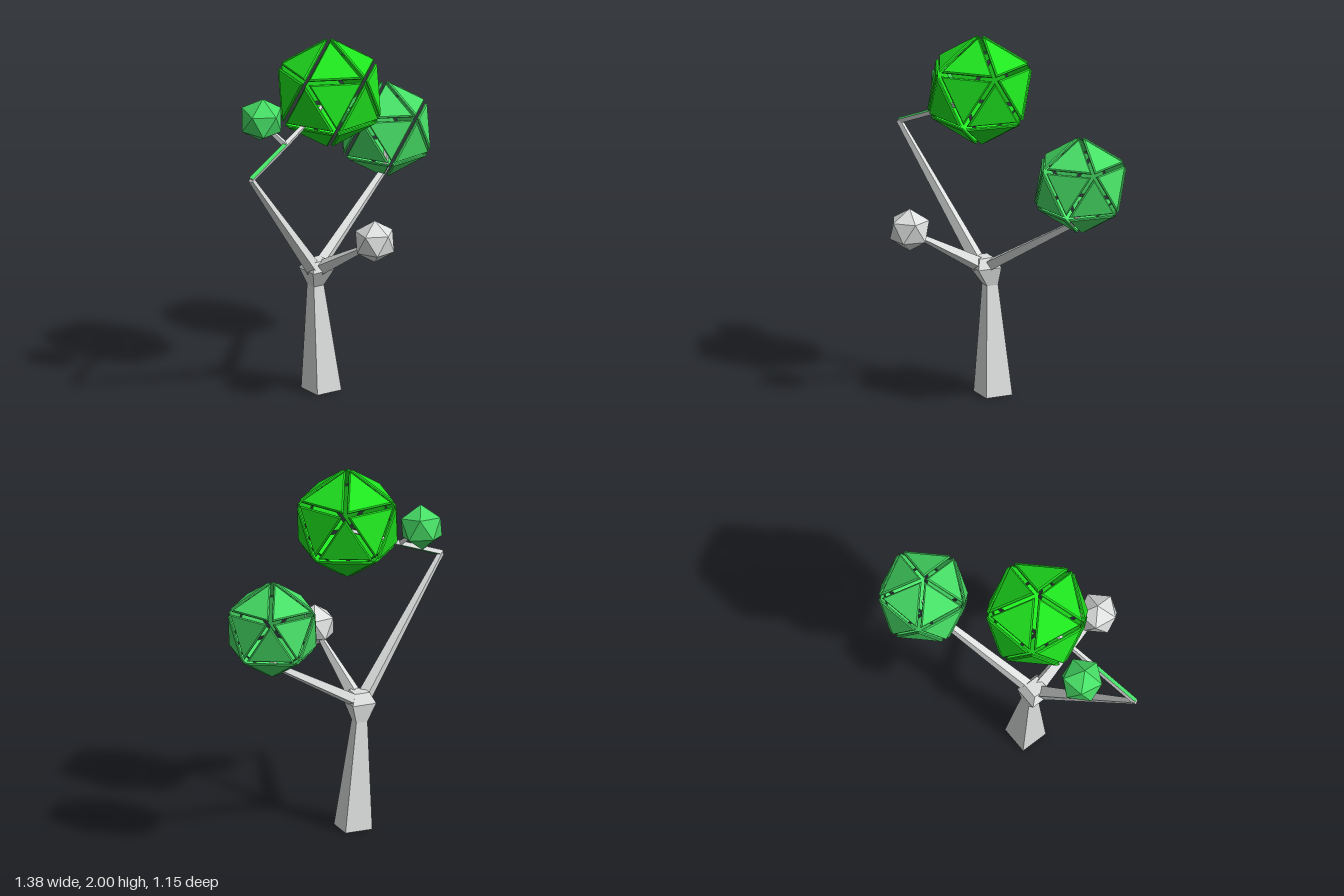
import * as THREE from 'three';

const mat = (name, color) => {
  const m = new THREE.MeshStandardMaterial({ color, flatShading: true });
  m.name = name;
  return m;
};
const V = (x, y, z) => new THREE.Vector3(x, y, z);

// Twelve unit corners of an icosahedron standing on a corner
const H = 1 / Math.sqrt(5), W = 2 * H;
const ring = (y, turn) => Array.from({ length: 5 }, (_, k) => {
  const a = (k * 2 * Math.PI) / 5 + turn;
  return V(W * Math.cos(a), y, W * Math.sin(a));
});
const upper = ring(H, 0), lower = ring(-H, Math.PI / 5);
const faces = [];
for (let k = 0; k < 5; k++) {
  const n = (k + 1) % 5;
  faces.push([V(0, 1, 0), upper[n], upper[k]]);
  faces.push([lower[k], upper[k], upper[n]]);
  faces.push([upper[n], lower[n], lower[k]]);
  faces.push([V(0, -1, 0), lower[k], lower[n]]);
}

// Solid icosahedron for the small buds
function bud(name, material, radius, center) {
  const pts = faces.flat().map((p) => p.clone().multiplyScalar(radius));
  const g = new THREE.BufferGeometry().setFromPoints(pts);
  g.computeVertexNormals();
  const m = new THREE.Mesh(g, material);
  m.name = name;
  m.position.copy(center);
  return m;
}

// Hollow crown of twenty separate bevelled triangular panels
function crown(name, material, R, center) {
  const group = new THREE.Group();
  group.name = name;
  group.position.copy(center);
  const r = 0.588 * R, t = R * 0.026;
  const profile = [[0, 0], [r, 0], [r, t], [r - 0.042 * R, t * 1.9], [0, t * 1.9]];
  const panel = new THREE.LatheGeometry(profile.map((p) => new THREE.Vector2(...p)), 3);
  for (const [a, b, c] of faces) {
    const mid = V(0, 0, 0).add(a).add(b).add(c).divideScalar(3);
    const y = mid.clone().normalize();
    const z = a.clone().sub(mid).normalize();
    const m = new THREE.Mesh(panel, material);
    m.name = 'leafPanel';
    m.quaternion.setFromRotationMatrix(new THREE.Matrix4().makeBasis(y.clone().cross(z), y, z));
    m.position.copy(y).multiplyScalar(R * (0.7947 + 0.062));
    group.add(m);
  }
  return group;
}

// Tapered four-sided branch; its upper front and lower back may take a second colour
function branch(name, a, b, ra, rb, material, accent) {
  const dir = b.clone().sub(a);
  const g = new THREE.CylinderGeometry(rb, ra, dir.length(), 4);
  const m = new THREE.Mesh(g, material);
  m.name = name;
  m.position.copy(a).add(b).multiplyScalar(0.5);
  m.quaternion.setFromUnitVectors(V(0, 1, 0), dir.normalize());
  if (accent) {
    const facing = [0, 1, 2, 3].map((i) => {
      const t = ((i + 0.5) * Math.PI) / 2;
      return V(Math.sin(t), 0, Math.cos(t)).applyQuaternion(m.quaternion).dot(V(0, 0.8, 0.6));
    });
    const side = facing.indexOf(Math.max(...facing));
    g.clearGroups();
    for (let i = 0; i < 4; i++) g.addGroup(i * 6, 6, i % 2 === side % 2 ? 1 : 0);
    g.addGroup(24, 24, 0);
    m.material = [material, accent];
  }
  return m;
}

// Four-sided solid through rings of [x, y, z, radius]
function loft(name, rings, turn, material) {
  const pts = [], idx = [];
  rings.forEach(([x, y, z, r], j) => {
    for (let i = 0; i < 4; i++) {
      const a = turn + (i * Math.PI) / 2;
      pts.push(V(x + r * Math.sin(a), y, z + r * Math.cos(a)));
      if (j) {
        const n = (i + 1) % 4, p = (j - 1) * 4, q = j * 4;
        idx.push(p + i, p + n, q + n, p + i, q + n, q + i);
      }
    }
  });
  const e = (rings.length - 1) * 4;
  idx.push(0, 2, 1, 0, 3, 2, e, e + 1, e + 2, e, e + 2, e + 3);
  const g = new THREE.BufferGeometry().setFromPoints(pts);
  g.setIndex(idx);
  g.computeVertexNormals();
  const m = new THREE.Mesh(g, material);
  m.name = name;
  return m;
}

export function createModel() {
  const bark = mat('grey bark', 0xdfe1e1);
  const bright = mat('bright green', 0x1fe61f);
  const soft = mat('soft green', 0x47df66);
  const tree = new THREE.Group();
  tree.name = 'tree';

  // Trunk and the knot where it forks
  tree.add(loft('trunk', [[-0.09, 0, -0.018, 0.11], [-0.127, 0.6, -0.013, 0.046]], -0.64, bark));
  tree.add(loft('fork', [
    [-0.127, 0.6, -0.013, 0.046], [-0.135, 0.7, 0.015, 0.096], [-0.135, 0.755, 0.022, 0.06],
  ], -0.64, bark));

  // Left-hand limb with its elbow, twig and large crown
  const elbow = V(-0.672, 1.385, 0.322), joint = V(-0.41, 1.505, 0.205);
  tree.add(branch('longBranch', V(-0.16, 0.705, 0.035), elbow, 0.042, 0.017, bark));
  tree.add(branch('elbowBranch', elbow, joint, 0.017, 0.017, bark, soft));
  tree.add(branch('crownBranch', joint, V(-0.1, 1.655, 0.065), 0.017, 0.012, bark));
  tree.add(branch('twig', joint, V(-0.49, 1.6, 0.11), 0.018, 0.012, bark));
  const leafBud = bud('leafBud', soft, 0.124, V(-0.5, 1.627, 0.093));
  leafBud.rotation.x = 0.15;
  tree.add(leafBud);
  tree.add(crown('largeCrown', bright, 0.281, V(-0.08, 1.705, 0.06)));

  // Right-hand limb with the second crown
  tree.add(branch('rightBranch', V(-0.1, 0.715, -0.005), V(0.445, 1.085, -0.32), 0.036, 0.02, bark));
  tree.add(branch('rightTip', V(0.435, 1.075, -0.315), V(0.45, 1.2, -0.335), 0.018, 0.012, bark));
  tree.add(crown('secondCrown', soft, 0.247, V(0.445, 1.29, -0.338)));

  // Forward limb with the bare bud
  tree.add(branch('frontBranch', V(-0.125, 0.71, 0.04), V(-0.02, 0.95, 0.44), 0.042, 0.015, bark));
  tree.add(bud('bareBud', bark, 0.118, V(-0.012, 0.982, 0.475)));
  return tree;
}
